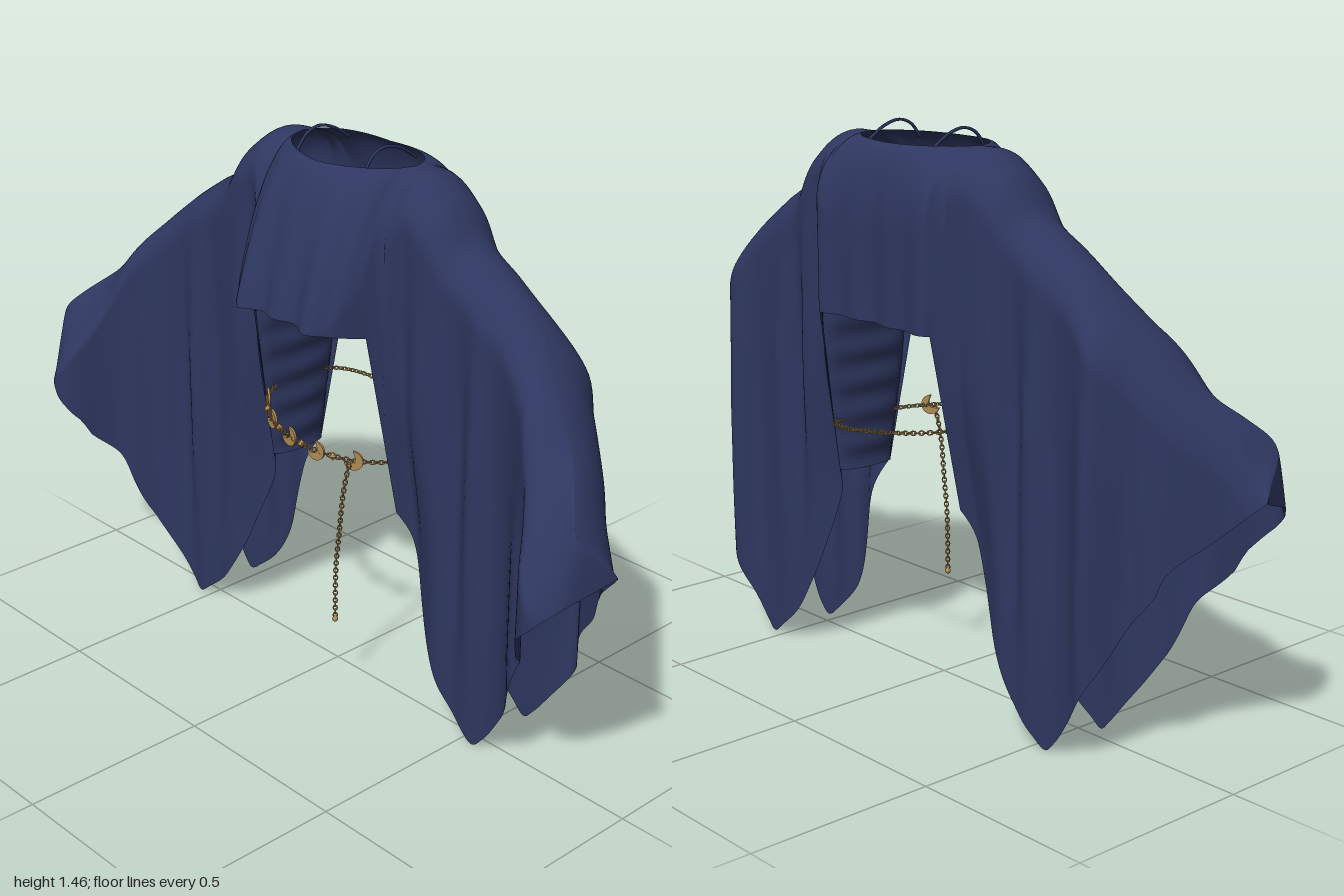
import * as THREE from 'three';
import { mergeGeometries } from 'three/addons/utils/BufferGeometryUtils.js';

const material = (name, color, extra = {}) => {
  const m = new THREE.MeshStandardMaterial({ color, ...extra });
  m.name = name;
  return m;
};

// Monotone cubic lookup through a few [x, value] points
function lookup(points, x) {
  const n = points.length;
  if (x <= points[0][0]) return points[0][1];
  if (x >= points[n - 1][0]) return points[n - 1][1];
  let i = 0;
  while (x > points[i + 1][0]) i++;
  const slope = (k) => (points[k + 1][1] - points[k][1]) / (points[k + 1][0] - points[k][0]);
  const tangent = (k) => {
    if (k === 0) return slope(0);
    if (k === n - 1) return slope(n - 2);
    const a = slope(k - 1), b = slope(k);
    return a * b <= 0 ? 0 : (2 * a * b) / (a + b);
  };
  const [x0, y0] = points[i], [x1, y1] = points[i + 1];
  const w = x1 - x0, t = (x - x0) / w, t2 = t * t, t3 = t2 * t;
  return (2 * t3 - 3 * t2 + 1) * y0 + (t3 - 2 * t2 + t) * w * tangent(i)
    + (3 * t2 - 2 * t3) * y1 + (t3 - t2) * w * tangent(i + 1);
}

// Half-garment curves, indexed by distance from the centre line
const ridgeY = [[0, 1.42], [0.25, 1.425], [0.34, 1.375], [0.41, 1.285], [0.5, 1.23], [0.6, 1.16], [0.75, 1.015], [0.83, 0.92], [0.93, 0.82], [0.98, 0.74], [1, 0.69]];
const ridgeZ = [[0, -0.05], [0.3, -0.07], [0.6, -0.06], [0.75, 0], [0.83, 0.05], [0.9, 0.12], [0.95, 0.165], [1, 0.08]];
const sleeveHem = [[0.235, 0.54], [0.26, 0.48], [0.3, 0.37], [0.36, 0.21], [0.43, 0.095], [0.5, 0.032], [0.54, 0.005], [0.57, 0.032], [0.62, 0.1], [0.7, 0.23], [0.75, 0.36], [0.815, 0.45], [0.83, 0.5], [0.9, 0.58], [1, 0.685]];
const frontZ = [[0, 0.205], [0.12, 0.215], [0.17, 0.19], [0.23, 0.07], [0.3, 0.045], [0.54, 0.035], [0.68, 0.07], [0.74, 0.12], [0.8, 0.18], [0.85, 0.235], [0.89, 0.255], [0.95, 0.225], [1, 0.09]];
const backZ = [[0, -0.235], [0.2, -0.245], [0.27, -0.185], [0.54, -0.155], [0.68, -0.17], [0.75, -0.12], [0.83, -0.06], [0.92, 0.02], [1, 0.07]];
const CHEST_EDGE = 0.212, SLEEVE_EDGE = 0.235;

// Depth of the front (side = 1) or back (side = -1) cloth at a given drop below the ridge
function clothZ(x, drop, side) {
  const { lerp, smoothstep } = THREE.MathUtils;
  const a = Math.abs(x);
  const chest = 1 - smoothstep(a, 0.15, 0.28);
  const wrist = smoothstep(a, 0.7, 0.88);
  const neck = a < 0.2 ? 0.12 * Math.sqrt(1 - (a / 0.2) ** 2) : 0;
  const start = lookup(ridgeZ, a) + side * neck;
  const end = lookup(side > 0 ? frontZ : backZ, a);
  const radius = 0.11 + chest * (side > 0 ? 0.26 : 0.1) + (side > 0 ? 0.12 * wrist : 0);
  const t = Math.min(1, drop / radius);
  // Rounded over the shoulder, straighter over the chest and wrist
  const straight = side > 0 ? Math.max(0.5 * chest, 0.8 * wrist) : 0;
  const round = lerp(Math.sqrt(1 - (1 - t) ** 2), t, straight);
  // Folds appear below the shoulder and fade out toward the points and wrists
  const hang = Math.min(1, drop / 0.45) * smoothstep(1 - a, 0, 0.25);
  const fade = 1 - 0.75 * smoothstep(drop, 0.65, 1.15);
  const sleeveFold = 0.015 * Math.sin(37 * a + side) + 0.005 * Math.sin(61 * a + 1.3 + x);
  const chestFold = (side > 0 ? 0.013 : 0.006) * Math.cos(52 * (a - 0.12));
  // Lower inner edges curl toward each other
  const curl = -side * 0.06 * smoothstep(drop, 0.5, 1) * (1 - smoothstep(a, 0.26, 0.42));
  return start + (end - start) * round + curl
    + hang * (sleeveFold * (1 - chest) * fade + chestFold * chest);
}

const hemY = (x, side) => {
  const a = Math.abs(x);
  if (a > CHEST_EDGE + 0.001) return lookup(sleeveHem, a);
  return side > 0 ? 1.05 - 0.02 * (a / CHEST_EDGE) ** 4 : 0.983;
};

// Grid surface from a function (i, j) -> [x, y, z]
function grid(cols, rows, at, flip) {
  const position = [], index = [];
  for (let i = 0; i <= cols; i++) for (let j = 0; j <= rows; j++) position.push(...at(i, j));
  for (let i = 0; i < cols; i++) for (let j = 0; j < rows; j++) {
    const a = i * (rows + 1) + j, b = a + 1, c = a + rows + 1, d = c + 1;
    if (flip) index.push(a, c, b, b, c, d);
    else index.push(a, b, c, b, d, c);
  }
  const g = new THREE.BufferGeometry();
  g.setAttribute('position', new THREE.Float32BufferAttribute(position, 3));
  g.setIndex(index);
  g.computeVertexNormals();
  return g;
}

// One whole sheet of cloth, front or back, from sleeve tip to sleeve tip
function sheet(side) {
  const half = [];
  for (let i = 1; i <= 24; i++) half.push((CHEST_EDGE * i) / 24);
  for (let i = 0; i <= 100; i++) half.push(SLEEVE_EDGE + ((1 - SLEEVE_EDGE) * i) / 100);
  const xs = [...half.map((x) => -x).reverse(), 0, ...half];
  const rows = 48;
  return grid(xs.length - 1, rows, (i, j) => {
    const x = xs[i], top = lookup(ridgeY, Math.abs(x));
    const drop = (top - hemY(x, side)) * (j / rows) ** 1.7;
    return [x, top - drop, clothZ(x, drop, side)];
  }, side < 0);
}

// Gathered panel joining front and back cloth, bowed toward the body
function sidePanel(sign) {
  const top = lookup(ridgeY, SLEEVE_EDGE);
  return grid(40, 16, (i, j) => {
    const y = 1.06 - (0.52 * i) / 40, t = j / 16;
    const z0 = clothZ(sign * SLEEVE_EDGE, top - y, 1), z1 = clothZ(sign * SLEEVE_EDGE, top - y, -1);
    const bow = (0.024 + 0.004 * Math.sin(y * 75)) * Math.sqrt(Math.max(0, 4 * t * (1 - t)));
    return [sign * (SLEEVE_EDGE - bow), y, z0 + (z1 - z0) * t];
  }, sign < 0);
}

// Chain of alternating links along a curve
function chain(curve, spacing) {
  const count = Math.round(curve.getLength() / spacing), links = [];
  const xAxis = new THREE.Vector3(1, 0, 0);
  for (let i = 0; i < count; i++) {
    const u = (i + 0.5) / count;
    const g = new THREE.TorusGeometry(0.0054, 0.0019, 5, 8);
    g.scale(1.35, 1, 1);
    g.rotateX(i % 2 ? Math.PI / 4 : -Math.PI / 4);
    g.applyQuaternion(new THREE.Quaternion().setFromUnitVectors(xAxis, curve.getTangentAt(u)));
    const p = curve.getPointAt(u);
    g.translate(p.x, p.y, p.z);
    links.push(g);
  }
  return mergeGeometries(links);
}

function crescent() {
  const s = new THREE.Shape();
  s.absarc(0, 0, 0.026, 0.9, Math.PI * 2 - 0.9, false);
  s.quadraticCurveTo(-0.024, 0, 0.0162, 0.0204);
  const g = new THREE.ExtrudeGeometry(s, { depth: 0.006, bevelEnabled: false, curveSegments: 16 });
  return g.translate(0, 0, -0.003);
}

export function createModel() {
  const model = new THREE.Group();
  const cloth = material('navy cloth', 0x2e3760, { side: THREE.DoubleSide });
  const gold = material('antique gold', 0xae8a52);
  const add = (name, geometry, mat, parent = model) => {
    const mesh = new THREE.Mesh(geometry, mat);
    mesh.name = name;
    parent.add(mesh);
    return mesh;
  };

  // Draped garment
  add('frontCloth', sheet(1), cloth);
  add('backCloth', sheet(-1), cloth);
  for (const sign of [-1, 1]) {
    const name = sign > 0 ? 'left' : 'right';
    add(name + 'SidePanel', sidePanel(sign), cloth);
    // Thin loop across the neck opening
    const loop = new THREE.CatmullRomCurve3([[1.41, 0.025], [1.445, -0.005], [1.458, -0.045], [1.445, -0.095], [1.41, -0.15]]
      .map(([y, z]) => new THREE.Vector3(sign * 0.12, y, z)));
    add(name + 'NeckLoop', new THREE.TubeGeometry(loop, 24, 0.004, 6), cloth);
  }

  // Belt chain, tilted down to the model's left
  const belt = new THREE.Group();
  belt.name = 'belt';
  model.add(belt);
  const beltPoint = (angle) => {
    const x = 0.235 * Math.sin(angle), c = Math.cos(angle);
    const depth = c < 0 ? -0.207 * (-c) ** 0.5 : 0.2 * c;
    return new THREE.Vector3(x, 0.71 - 0.14 * x, -0.045 + depth);
  };
  const ring = Array.from({ length: 32 }, (_, i) => beltPoint((i / 32) * Math.PI * 2));
  add('beltChain', chain(new THREE.CatmullRomCurve3(ring, true), 0.011), gold, belt);

  // Crescents with small beads between them
  for (let i = 0; i < 5; i++) {
    const angle = Math.asin((-0.19 + i * 0.0885) / 0.235);
    const moon = add('crescent', crescent(), gold, belt);
    moon.position.copy(beltPoint(angle));
    moon.rotation.set(0, angle * 0.6, Math.PI * 0.8);
    if (i === 4) continue;
    const bead = add('bead', new THREE.OctahedronGeometry(0.012), gold, belt);
    bead.position.copy(beltPoint(Math.asin((-0.146 + i * 0.0885) / 0.235)));
  }

  // Hanging chain end
  const tail = new THREE.CatmullRomCurve3([[0.16, 0.68, 0.11], [0.155, 0.6, 0.125], [0.14, 0.48, 0.125], [0.125, 0.38, 0.122], [0.122, 0.23, 0.122]]
    .map((p) => new THREE.Vector3(...p)));
  add('hangingChain', chain(tail, 0.011), gold, belt);
  add('chainEnd', new THREE.SphereGeometry(0.008, 10, 8), gold, belt).position.set(0.122, 0.225, 0.122);

  return model;
}
